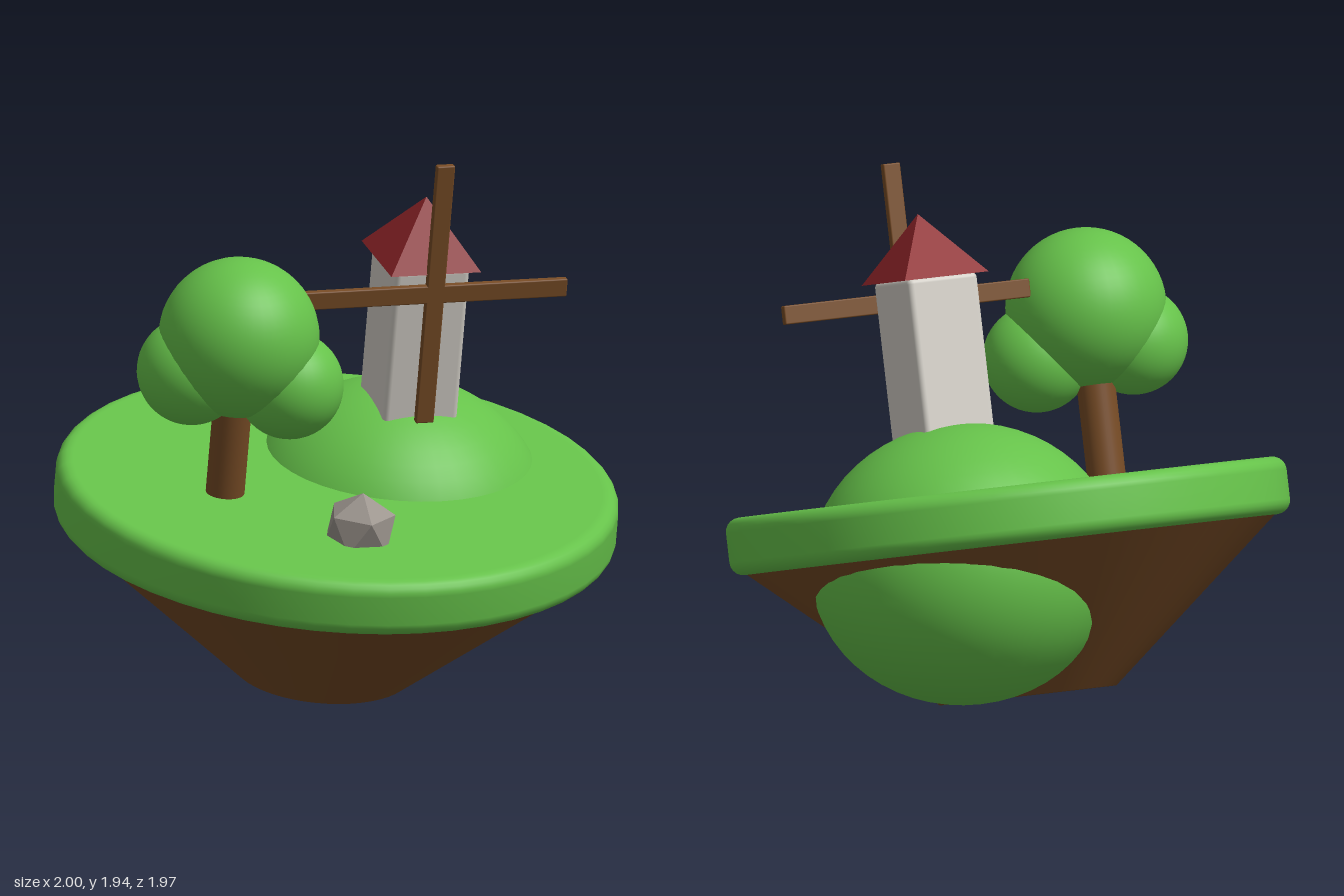
import * as THREE from 'three';
import { RoundedBoxGeometry } from 'three/addons/geometries/RoundedBoxGeometry.js';

const mat = (name, color, flatShading = false) => {
  const m = new THREE.MeshStandardMaterial({ color, flatShading });
  m.name = name;
  return m;
};

export function createModel() {
  const grass = mat('grass green', 0x66c24a);
  const wood = mat('wood brown', 0x764b25);
  const wall = mat('wall white', 0xd2cec6);
  const roofRed = mat('roof red', 0x8e2428, true);
  const stone = mat('stone grey', 0x9a938c, true);

  const model = new THREE.Group();
  model.name = 'floatingIsland';
  // everything stands on an island tipped towards the front
  const island = new THREE.Group();
  island.name = 'tiltedIsland';
  island.rotation.x = THREE.MathUtils.degToRad(14);
  model.add(island);

  const add = (name, geometry, material, x, y, z) => {
    const mesh = new THREE.Mesh(geometry, material);
    mesh.name = name;
    mesh.position.set(x, y, z);
    island.add(mesh);
    return mesh;
  };
  const ball = (name, r, x, y, z) => add(name, new THREE.SphereGeometry(r, 40, 28), grass, x, y, z);

  // grass disc with rounded rims
  const R = 1, low = 0.575, high = 0.78, bevel = 0.05;
  const rim = [new THREE.Vector2(0, low), new THREE.Vector2(R - bevel - 0.01, low)];
  for (const [cy, start] of [[low + bevel, -90], [high - bevel, 0]]) {
    for (let i = 0; i <= 5; i++) {
      const a = THREE.MathUtils.degToRad(start + i * 18);
      rim.push(new THREE.Vector2(R - bevel + bevel * Math.cos(a), cy + bevel * Math.sin(a)));
    }
  }
  rim.push(new THREE.Vector2(R - bevel - 0.01, high), new THREE.Vector2(0, high));
  add('grassDisc', new THREE.LatheGeometry(rim, 48), grass, 0, 0, -0.17);

  // earth cone underneath
  add('earthCone', new THREE.CylinderGeometry(0.945, 0.315, 0.54, 48), wood, 0, 0.308, -0.167);

  // hill, bulging out through the earth below as well
  ball('hill', 1, 0.295, 0.525, -0.37).scale.set(0.55, 0.5, 0.55);

  // windmill tower, roof and sails
  add('tower', new RoundedBoxGeometry(0.278, 0.66, 0.28, 3, 0.02), wall, 0.295, 1.22, -0.316);
  const roof = new THREE.ConeGeometry(0.168 * Math.SQRT2, 0.23, 4);
  roof.rotateY(Math.PI / 4);
  add('roof', roof, roofRed, 0.297, 1.66, -0.318);
  for (const [name, turn] of [['uprightSail', 0], ['levelSail', Math.PI / 2]]) {
    add(name, new RoundedBoxGeometry(0.067, 0.985, 0.027, 2, 0.005), wood, 0.297, 1.472, -0.151).rotation.z = turn;
  }

  // tree
  add('treeTrunk', new THREE.CylinderGeometry(0.069, 0.069, 0.5, 32), wood, -0.452, 1.0, -0.085);
  ball('treeCrown', 0.286, -0.454, 1.379, -0.072);
  ball('treeCrownLeft', 0.192, -0.28, 1.221, 0.013);
  ball('treeCrownRight', 0.194, -0.61, 1.247, -0.105);

  // faceted rock
  const rock = new THREE.IcosahedronGeometry(0.135, 0);
  rock.rotateZ(Math.atan(2 / (1 + Math.sqrt(5))));
  rock.rotateY(0.3);
  add('rock', rock, stone, -0.1, 0.81, 0.37);

  return model;
}
